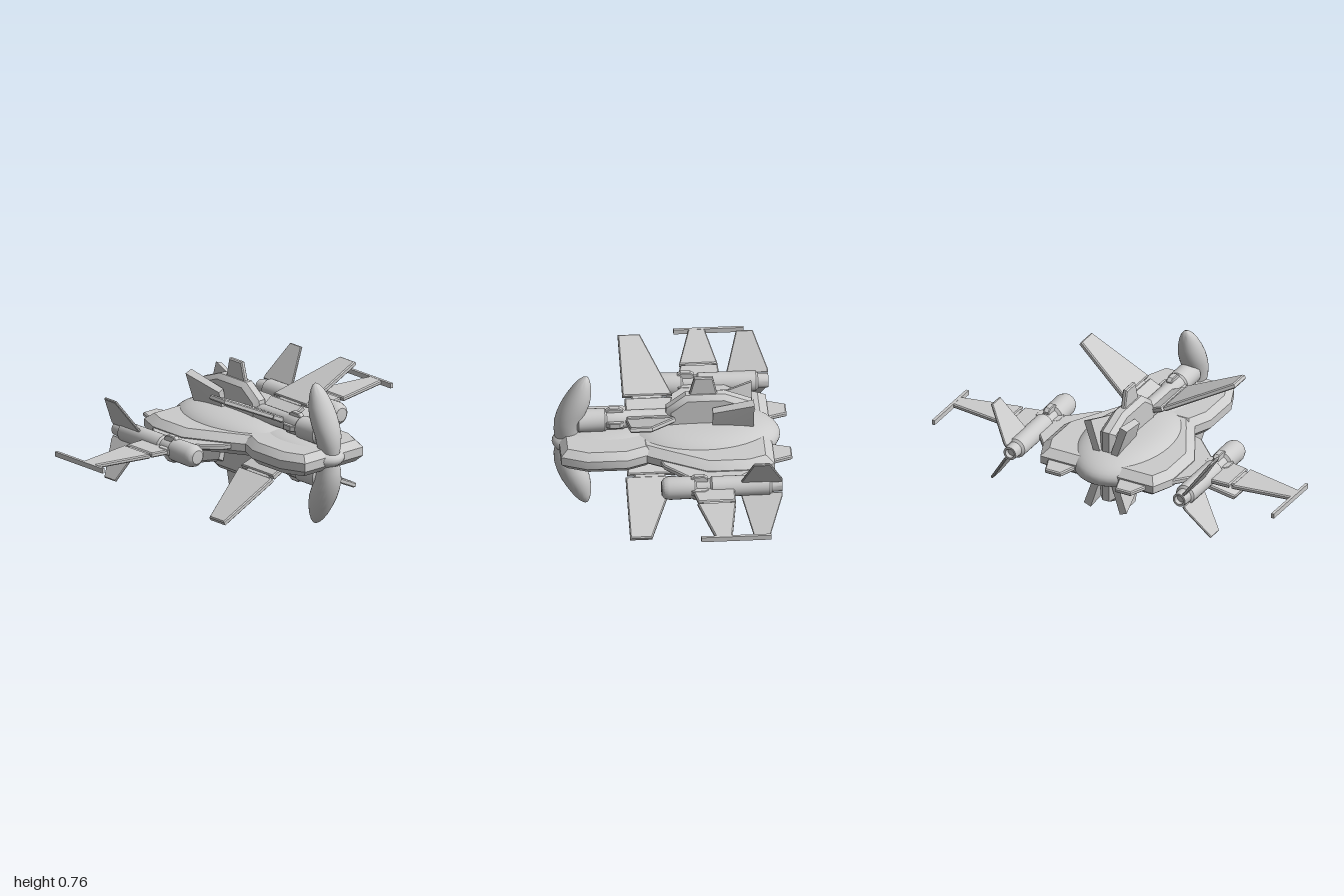
import * as THREE from 'three';
import { toCreasedNormals } from 'three/addons/utils/BufferGeometryUtils.js';

const V2 = (x, y) => new THREE.Vector2(x, y);

// Chamfered slab cut from an outline, lying flat: points are (x, z)
function slab(points, thickness, inset = 0.006, drop = inset) {
  const geo = new THREE.ExtrudeGeometry(new THREE.Shape(points.map(p => V2(...p))), {
    depth: thickness - 2 * drop, bevelEnabled: true, bevelSegments: 1,
    bevelSize: inset, bevelOffset: -inset, bevelThickness: drop,
  });
  return geo.translate(0, 0, drop - thickness / 2).rotateX(Math.PI / 2);
}

// Same, standing in the centre plane: points are (z, y)
function uprightSlab(points, thickness, inset, drop) {
  return slab(points, thickness, inset, drop).rotateX(-Math.PI / 2).rotateY(-Math.PI / 2);
}

// Outline mirrored across x = 0
const mirrorOutline = half => [...half, ...half.map(([x, z]) => [-x, z]).reverse()];

// Turned body along z: points are (z, radius)
function turned(points) {
  return new THREE.LatheGeometry(points.map(([z, r]) => V2(r, z)), 24).rotateX(Math.PI / 2);
}

// Flattened dome, blunter than an ellipsoid
function dome(rx, ry, rz, z) {
  const geo = new THREE.SphereGeometry(1, 40, 24);
  const p = geo.attributes.position;
  for (let i = 0; i < p.count; i++) {
    const r = Math.min(1, Math.hypot(p.getX(i), p.getZ(i)));
    p.setY(i, Math.sign(p.getY(i)) * Math.sqrt(1 - r ** 3.2));
  }
  return geo.scale(rx, ry, rz).translate(0, 0, z);
}

// Horn lofted through ellipses: [y, back z, front z, half width]
function horn(sections) {
  const geo = new THREE.LatheGeometry(sections.map((s, i) => V2(1, i)), 28);
  const p = geo.attributes.position;
  for (let i = 0; i < p.count; i++) {
    const [y, back, front, w] = sections[Math.round(p.getY(i))];
    p.setXYZ(i, p.getX(i) * w, y, (back + front) / 2 + p.getZ(i) * (front - back) / 2);
  }
  return geo;
}

// Reflected copy with the winding kept outward
function reflect(geo, sx, sy) {
  const g = (geo.index ? geo.toNonIndexed() : geo.clone()).scale(sx, sy, 1);
  if (sx * sy < 0) {
    for (const a of Object.values(g.attributes)) {
      const n = a.itemSize;
      for (let t = 0; t < a.array.length; t += 3 * n)
        for (let k = 0; k < n; k++) {
          const first = a.array[t + k];
          a.array[t + k] = a.array[t + 2 * n + k];
          a.array[t + 2 * n + k] = first;
        }
    }
  }
  return g;
}

export function createModel() {
  const model = new THREE.Group();
  model.name = 'spacecraft';
  const craft = new THREE.Group();
  craft.name = 'craft';
  craft.position.y = 0.38;
  model.add(craft);
  const material = new THREE.MeshStandardMaterial({ color: 0xcccccc });

  const add = (name, geo, xs = [1], ys = [1]) => {
    for (const sx of xs) for (const sy of ys) {
      const mesh = new THREE.Mesh(toCreasedNormals(reflect(geo, sx, sy), 0.6), material);
      mesh.name = name;
      craft.add(mesh);
    }
  };
  const both = [1, -1], one = [1];

  // Main hull and its dome
  add('rearHull', slab(mirrorOutline(
    [[0.18, 0.19], [0.25, 0.07], [0.38, -0.17], [0.38, -0.39], [0.33, -0.515]]), 0.11, 0.045, 0.035));
  add('rearDome', dome(0.26, 0.1, 0.395, -0.17));

  // Nose plate and its dome
  add('nosePlate', slab(mirrorOutline(
    [[0.2, 0.57], [0.255, 0.44], [0.255, 0.23], [0.2, 0.1]]), 0.115, 0.035, 0.035));
  add('noseDome', dome(0.155, 0.068, 0.3, 0.305));

  // Side plates carrying the engines, and flat tail fins
  add('sidePlate', slab([[0.2, 0.08], [0.3, 0.05], [0.43, -0.08], [0.46, -0.14],
    [0.46, -0.3], [0.36, -0.42], [0.2, -0.42]], 0.03), both);
  add('tailFin', slab([[0.13, -0.45], [0.13, -0.52], [0.16, -0.61], [0.25, -0.61],
    [0.285, -0.52], [0.285, -0.45]], 0.025), both);

  // Horns above and below the nose
  add('horn', horn([
    [0.03, 0.47, 0.59, 0.05], [0.07, 0.465, 0.595, 0.06], [0.12, 0.455, 0.593, 0.067],
    [0.17, 0.43, 0.58, 0.071], [0.22, 0.41, 0.56, 0.07], [0.27, 0.403, 0.532, 0.063],
    [0.32, 0.404, 0.499, 0.048], [0.35, 0.409, 0.474, 0.034], [0.37, 0.416, 0.45, 0.018],
    [0.38, 0.427, 0.428, 0.001]]), one, both);

  // Pods above and below the hull
  add('pod', turned([[-0.1, 0], [-0.1, 0.045], [0.23, 0.045], [0.245, 0.052], [0.325, 0.052],
    [0.335, 0.06], [0.47, 0.06], [0.52, 0]]).translate(0, 0.115, 0), one, both);

  // Upright spine with a fin on its crest
  add('spine', uprightSlab([[0.03, 0.05], [0.02, 0.18], [-0.08, 0.255], [-0.28, 0.255],
    [-0.42, 0.2], [-0.42, 0.05]], 0.09, 0.025, 0.025), one, both);
  add('spineFin', uprightSlab([[-0.09, 0.23], [-0.1, 0.26], [-0.125, 0.35], [-0.22, 0.35],
    [-0.24, 0.26], [-0.25, 0.23]], 0.026), one, both);

  // Splayed flaps beside the spine
  const flap = new THREE.BoxGeometry(1, 1, 1);
  const fp = flap.attributes.position;
  for (let i = 0; i < fp.count; i++) {
    const rear = fp.getZ(i) < 0, top = fp.getY(i) > 0, outer = fp.getX(i) > 0;
    const x = (top ? (rear ? 0.085 : 0.055) : 0.03) + (outer ? (rear ? 0.04 : 0.03) : 0);
    const y = top ? (rear ? 0.255 : 0.195) - (outer ? 0.015 : 0) : 0.08;
    fp.setXYZ(i, x, y, rear ? -0.425 : -0.215);
  }
  add('splayedFlap', flap, both, both);

  // Four diagonal wings, root and panel joined by a hinge
  const diagonal = geo => geo.rotateZ(0.445).translate(0, 0.115, 0);
  add('diagonalWingRoot', diagonal(slab([[0.02, 0], [0.115, -0.02], [0.115, 0.225], [0.02, 0.225]], 0.03)),
    both, both);
  add('diagonalWingHinge', diagonal(slab([[0.1, 0.03], [0.15, 0.03], [0.15, 0.19], [0.1, 0.19]], 0.016)),
    both, both);
  add('diagonalWing', diagonal(slab([[0.13, -0.02], [0.5, 0.122], [0.5, 0.235], [0.13, 0.235]], 0.028)),
    both, both);

  // Side engines
  add('engine', turned([[-0.52, 0], [-0.52, 0.02], [-0.54, 0.025], [-0.54, 0.036], [-0.485, 0.04],
    [-0.475, 0.053], [-0.18, 0.053], [-0.17, 0.043], [-0.1, 0.043], [-0.09, 0.058], [0.04, 0.06],
    [0.065, 0.052], [0.078, 0.036], [0.08, 0]]).translate(0.495, 0, 0), both);

  // Clamps round the joints of engines and pods
  for (let i = 0; i < 4; i++) {
    const clamp = () => uprightSlab([[-0.045, 0.03], [-0.045, 0.055], [-0.025, 0.07],
      [0.025, 0.07], [0.045, 0.055], [0.045, 0.03]], 0.032, 0.004).rotateZ(i * Math.PI / 2);
    add('engineClamp', clamp().translate(0.495, 0, -0.115), both);
    add('podClamp', clamp().translate(0, 0.115, 0.285), one, both);
  }

  // Engine fins, one up and one down
  add('engineFin', slab([[0.04, -0.33], [0.06, -0.33], [0.26, -0.385], [0.26, -0.47],
    [0.06, -0.54], [0.04, -0.54]], 0.014, 0.004).rotateZ(0.977).translate(0.495, 0, 0), both, both);

  // Outer wings with tip bars
  add('outerWingRoot', slab([[0.52, -0.295], [0.65, -0.292], [0.65, -0.1], [0.52, -0.075]], 0.026), both);
  add('outerWingHinge', slab([[0.63, -0.27], [0.68, -0.27], [0.68, -0.12], [0.63, -0.12]], 0.014), both);
  add('outerWing', slab([[0.665, -0.292], [0.99, -0.25], [0.99, -0.165], [0.665, -0.095]], 0.024), both);
  add('tipBar', new THREE.BoxGeometry(0.016, 0.026, 0.36).translate(0.992, 0, -0.27), both);

  return model;
}
